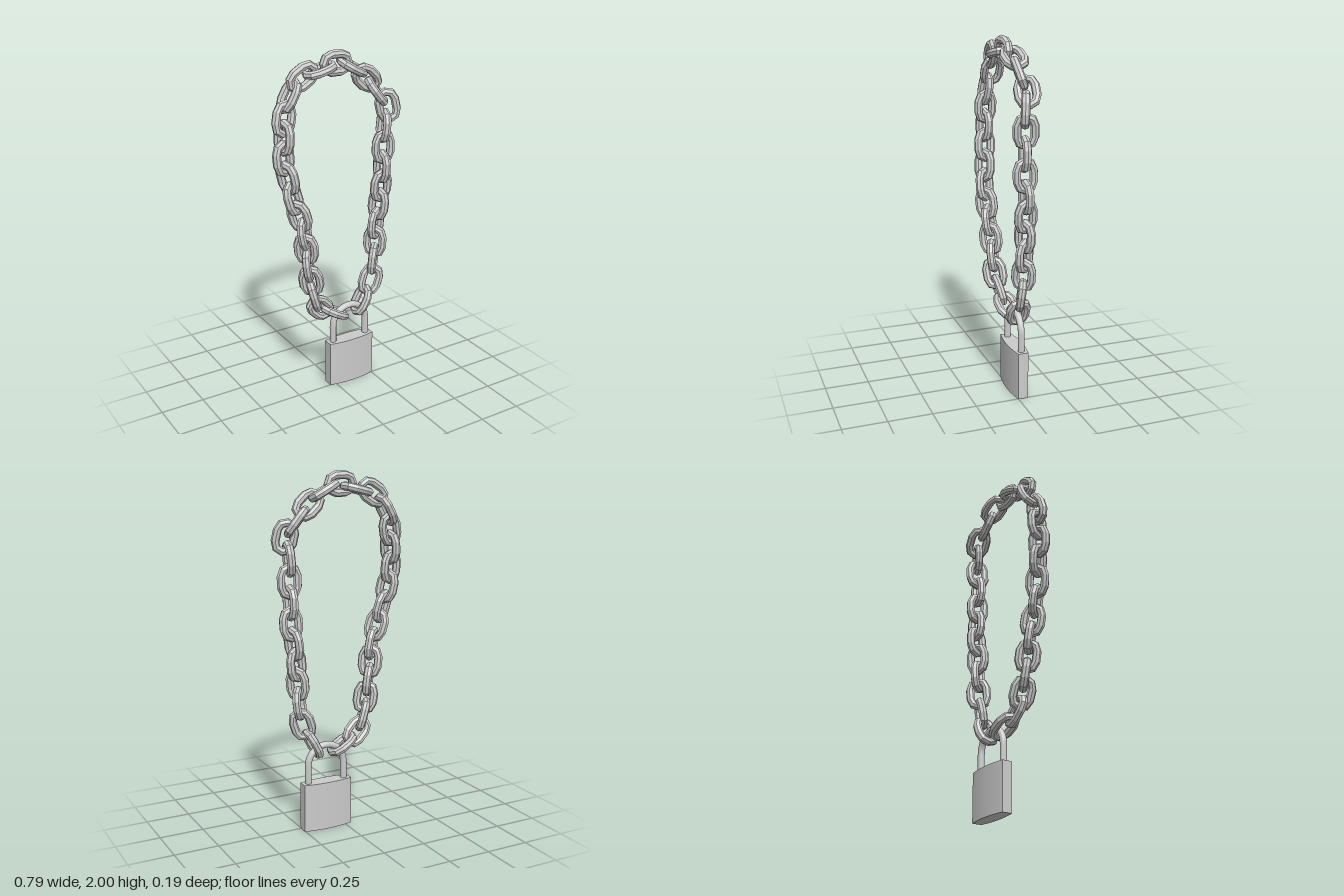
import * as THREE from 'three';
import { toCreasedNormals } from 'three/addons/utils/BufferGeometryUtils.js';

const LOCK_X = 0.107, LOCK_Z = -0.027;

// Link placements along the loop: x, y, z and twist about the chain in degrees
const LINKS = [
  // left strand, from the shackle upwards
  [0.185, 0.50, -0.02, 90], [0.245, 0.62, -0.015, 68], [0.265, 0.745, -0.02, 48], [0.275, 0.855, -0.02, 36],
  [0.28, 0.965, -0.02, 25], [0.295, 1.08, -0.02, 14], [0.307, 1.19, -0.015, 5], [0.307, 1.305, -0.01, 0],
  [0.31, 1.42, -0.005, -5], [0.313, 1.54, -0.01, -10], [0.33, 1.655, 0, -20],
  // over the top
  [0.275, 1.735, -0.03, -25], [0.2, 1.82, -0.015, -25], [0.11, 1.89, -0.02, -12], [0, 1.925, 0, 0],
  [-0.09, 1.895, -0.015, 0], [-0.2, 1.875, 0, 0], [-0.265, 1.78, -0.03, -5],
  // right strand, downwards
  [-0.31, 1.67, -0.005, -5], [-0.312, 1.57, -0.005, -14], [-0.32, 1.46, 0, -16], [-0.3, 1.35, 0.005, -22],
  [-0.275, 1.235, 0.015, -30], [-0.245, 1.13, 0.025, -36], [-0.215, 1.025, 0.025, -42], [-0.2, 0.925, 0.015, -47],
  [-0.185, 0.82, 0.01, -52], [-0.165, 0.72, 0.005, -58], [-0.145, 0.62, 0, -66], [-0.1, 0.53, -0.01, -78],
  [0, 0.472, -0.02, -90],
];

// Stadium-shaped link: a faceted ring pulled apart along y
function linkGeometry(radius, tube, stretch) {
  const sides = 8, segs = 10;
  const geo = new THREE.TorusGeometry(radius, tube, sides, segs);
  const pos = geo.attributes.position;
  for (let j = 0; j <= sides; j++) {
    const v = (j / sides) * Math.PI * 2;
    const r = radius + tube * Math.cos(v);
    for (let i = 0; i <= segs; i++) {
      const k = i % segs, upper = k < 5;
      const a = ((upper ? k : k - 1) / 4) * Math.PI;
      pos.setXYZ(j * (segs + 1) + i, r * Math.cos(a),
        r * Math.sin(a) + (upper ? stretch : -stretch), tube * Math.sin(v));
    }
  }
  geo.computeVertexNormals();
  return geo;
}

// Chain: each link follows its neighbours and is turned a quarter from the last
function buildChain(material) {
  const chain = new THREE.Group();
  chain.name = 'chain';
  const geo = linkGeometry(0.0465, 0.0235, 0.031);
  const front = new THREE.Vector3(0, 0, 1);
  const centres = LINKS.map(([x, y, z]) => new THREE.Vector3(x, y, z));
  centres.forEach((centre, i) => {
    const before = centres[Math.max(i - 1, 0)];
    const after = centres[Math.min(i + 1, centres.length - 1)];
    const along = after.clone().sub(before).normalize();
    const across = new THREE.Vector3().crossVectors(along, front).normalize();
    const normal = new THREE.Vector3().crossVectors(across, along);
    const link = new THREE.Mesh(geo, material);
    link.name = 'chainLink' + (i + 1);
    link.quaternion.setFromRotationMatrix(new THREE.Matrix4().makeBasis(across, along, normal));
    link.rotateY(THREE.MathUtils.degToRad((i % 2) * 90 + LINKS[i][3]));
    link.position.copy(centre);
    chain.add(link);
  });
  return chain;
}

// Padlock: body with bowed front and back, and a U-shaped shackle
function buildPadlock(material) {
  const lock = new THREE.Group();
  lock.name = 'padlock';
  lock.position.set(LOCK_X, 0, LOCK_Z);

  const w = 0.147, end = 0.029, mid = 0.045;
  const outline = new THREE.Shape();
  outline.moveTo(-w, -end);
  outline.quadraticCurveTo(0, -(2 * mid - end), w, -end);
  outline.lineTo(w, end);
  outline.quadraticCurveTo(0, 2 * mid - end, -w, end);
  outline.closePath();
  let bodyGeo = new THREE.ExtrudeGeometry(outline, { depth: 0.275, bevelEnabled: false, curveSegments: 10 });
  bodyGeo.rotateX(-Math.PI / 2);
  bodyGeo = toCreasedNormals(bodyGeo, 0.5);
  const body = new THREE.Mesh(bodyGeo, material);
  body.name = 'lockBody';
  lock.add(body);

  const r = 0.111, bend = 0.375;
  const path = new THREE.CurvePath();
  path.add(new THREE.LineCurve3(new THREE.Vector3(-r, 0.26, 0), new THREE.Vector3(-r, bend, 0)));
  const arch = [];
  for (let i = 0; i <= 12; i++) {
    const a = Math.PI * (1 - i / 12);
    arch.push(new THREE.Vector3(r * Math.cos(a), bend + r * Math.sin(a), 0));
  }
  path.add(new THREE.CatmullRomCurve3(arch));
  path.add(new THREE.LineCurve3(new THREE.Vector3(r, bend, 0), new THREE.Vector3(r, 0.26, 0)));
  const shackle = new THREE.Mesh(new THREE.TubeGeometry(path, 32, 0.019, 12), material);
  shackle.name = 'shackle';
  lock.add(shackle);
  return lock;
}

export function createModel() {
  const model = new THREE.Group();
  model.name = 'chainWithPadlock';
  const faceted = new THREE.MeshStandardMaterial({ color: 0xcccccc, flatShading: true });
  const smooth = new THREE.MeshStandardMaterial({ color: 0xcccccc });
  model.add(buildChain(faceted), buildPadlock(smooth));
  return model;
}
